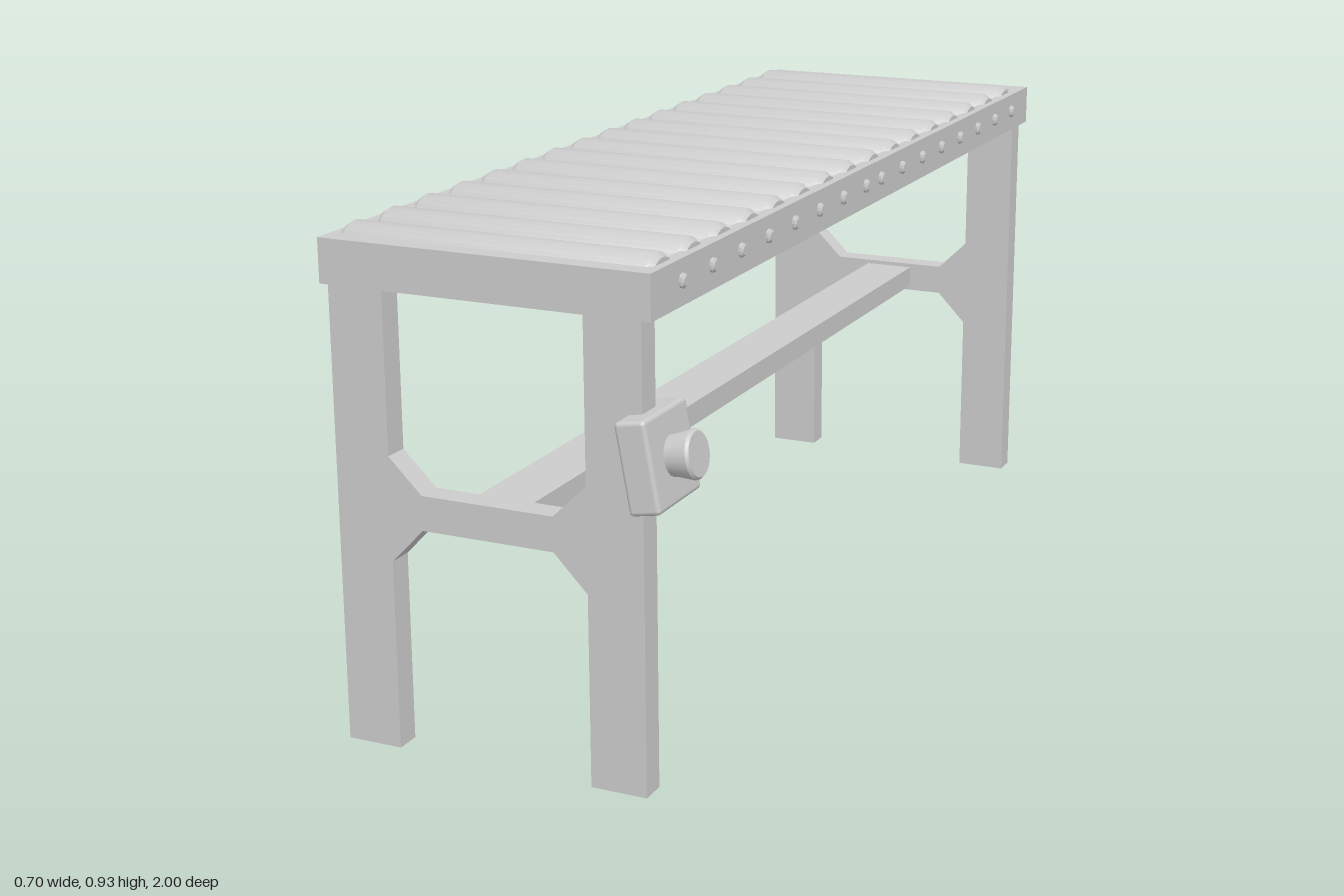
import * as THREE from 'three';
import { RoundedBoxGeometry } from 'three/addons/geometries/RoundedBoxGeometry.js';
import { toCreasedNormals } from 'three/addons/utils/BufferGeometryUtils.js';

const mat = new THREE.MeshStandardMaterial({ color: 0xcccccc });
const CX = -0.034;      // centre line of the table
const AXLE_Y = 0.873;   // height of the roller axles
const BACK = -1, FRONT = 0.953, THICK = 0.048;

function add(parent, name, geometry, x = 0, y = 0, z = 0) {
  const mesh = new THREE.Mesh(geometry, mat);
  mesh.name = name;
  mesh.position.set(x, y, z);
  parent.add(mesh);
  return mesh;
}

const toPoints = (list) => list.map(([x, y]) => new THREE.Vector2(x, y));

// Solid of revolution lying along x, with crisp edges
function turnedAlongX(profile, segments) {
  const g = new THREE.LatheGeometry(toPoints(profile), segments);
  g.rotateZ(-Math.PI / 2);
  return toCreasedNormals(g, 0.6);
}

// H-shaped leg frame: two legs, a crossbar and diagonal gussets
function legFrameGeometry() {
  const out = 0.294, inn = 0.189, mid = 0.126;
  const shape = new THREE.Shape(toPoints([
    [-out, 0], [-inn, 0], [-inn, 0.35], [-mid, 0.415],
    [mid, 0.415], [inn, 0.35], [inn, 0], [out, 0],
    [out, 0.835], [inn, 0.835], [inn, 0.54], [mid, 0.478],
    [-mid, 0.478], [-inn, 0.54], [-inn, 0.835], [-out, 0.835],
  ]));
  return new THREE.ExtrudeGeometry(shape, { depth: THICK, bevelEnabled: false });
}

// Emergency stop box: tilted housing with a flared push button
function createStopBox() {
  const box = new THREE.Group();
  box.name = 'stopSwitch';
  add(box, 'switchHousing', new RoundedBoxGeometry(0.057, 0.158, 0.158, 2, 0.008));
  add(box, 'switchButton', turnedAlongX([
    [0, 0.02], [0.035, 0.02], [0.035, 0.034], [0.042, 0.066],
    [0.042, 0.07], [0.038, 0.075], [0, 0.075],
  ], 20));
  box.position.set(0.271, 0.598, 0.92);
  box.rotation.z = 0.178;
  return box;
}

export function createModel() {
  const model = new THREE.Group();
  model.name = 'rollerConveyor';

  // Top frame: two end bars and two side rails
  const railLength = FRONT - BACK, railZ = (FRONT + BACK) / 2;
  const endBar = new THREE.BoxGeometry(0.622, 0.08, THICK);
  add(model, 'frontBar', endBar, CX, 0.87, FRONT - THICK / 2);
  add(model, 'backBar', endBar, CX, 0.87, BACK + THICK / 2);
  const rail = new THREE.BoxGeometry(0.025, 0.08, railLength - 2 * THICK);
  for (const s of [-1, 1]) {
    add(model, s > 0 ? 'leftRail' : 'rightRail', rail, CX + s * 0.2985, 0.87, railZ);
  }

  // Leg frames at both ends
  const legs = legFrameGeometry();
  add(model, 'frontLegFrame', legs, CX, 0, FRONT - THICK);
  add(model, 'backLegFrame', legs, CX, 0, BACK);

  // Long stretcher joining the two crossbars
  add(model, 'stretcher', new THREE.BoxGeometry(0.106, 0.045, railLength - 2 * THICK), CX, 0.447, railZ);

  // Rollers with bevelled ends
  const rollers = new THREE.Group();
  rollers.name = 'rollers';
  model.add(rollers);
  const h = 0.296;
  const rollerGeo = turnedAlongX([
    [0, -h], [0.046, -h], [0.054, -h + 0.012],
    [0.054, h - 0.012], [0.046, h], [0, h],
  ], 28);
  for (let i = 0; i < 16; i++) {
    add(rollers, 'roller', rollerGeo, CX, AXLE_Y, 0.877 - i * 0.1173);
  }

  // Axle bolts on both rails, in two evenly spaced runs
  const bolts = new THREE.Group();
  bolts.name = 'axleBolts';
  model.add(bolts);
  const boltGeo = turnedAlongX([
    [0, -0.319], [0.008, -0.319], [0.013, -0.315], [0.013, -0.3], [0, -0.3],
  ], 12);
  for (const start of [0.838, -0.062]) {
    for (let i = 0; i < 8; i++) {
      for (const s of [-1, 1]) {
        const bolt = add(bolts, 'axleBolt', boltGeo, CX, AXLE_Y, start - i * 0.117);
        if (s > 0) bolt.rotation.y = Math.PI;
      }
    }
  }

  model.add(createStopBox());
  return model;
}
